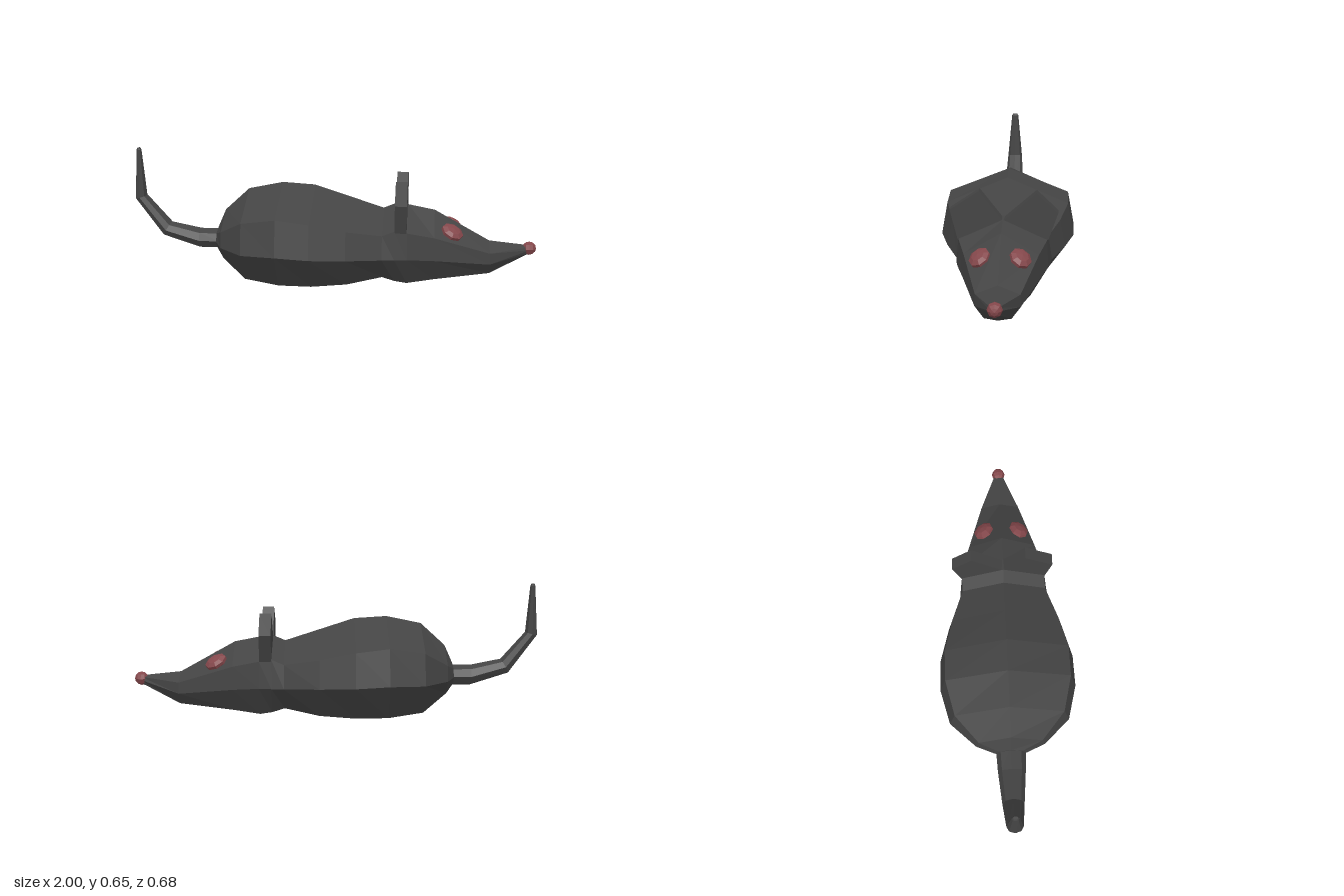
import * as THREE from 'three';

// Skin a row of rings that advance along +x; each ring runs top -> +z -> bottom -> -z
function loft(rings) {
  const n = rings[0].length;
  const index = [];
  for (let j = 0; j < rings.length - 1; j++) {
    for (let i = 0; i < n; i++) {
      const k = (i + 1) % n;
      const a = j * n + i, b = j * n + k, c = b + n, d = a + n;
      index.push(a, b, c, a, c, d);
    }
  }
  const last = (rings.length - 1) * n;
  for (let i = 1; i < n - 1; i++) {
    index.push(0, i + 1, i, last, last + i, last + i + 1);
  }
  const geo = new THREE.BufferGeometry();
  geo.setAttribute('position', new THREE.Float32BufferAttribute(rings.flat(2), 3));
  geo.setIndex(index);
  const flat = geo.toNonIndexed();
  flat.computeVertexNormals();
  return flat;
}

// Eight-sided body section, mirrored across z = 0
function bodyRing([x, top, upY, upZ, midY, midZ, lowY, lowZ, bottom]) {
  return [
    [x, top, 0], [x, upY, upZ], [x, midY, midZ], [x, lowY, lowZ],
    [x, bottom, 0], [x, lowY, -lowZ], [x, midY, -midZ], [x, upY, -upZ],
  ];
}

// Octagonal tail section between an inner and an outer point
function tailRing([x0, y0, x1, y1, halfZ]) {
  const ring = [];
  for (let i = 0; i < 8; i++) {
    const a = (i / 8) * Math.PI * 2;
    const t = (1 - Math.cos(a)) / 2;
    ring.push([x0 + (x1 - x0) * t, y0 + (y1 - y0) * t, Math.sin(a) * halfZ]);
  }
  return ring;
}

export function createModel() {
  const fur = new THREE.MeshStandardMaterial({ color: 0x444444 });
  fur.name = 'dark grey fur';
  fur.flatShading = true;
  const pink = new THREE.MeshStandardMaterial({ color: 0x84474b });
  pink.name = 'dull red';
  pink.flatShading = true;

  const model = new THREE.Group();
  model.name = 'rat';
  const add = (name, geo, mat) => {
    const mesh = new THREE.Mesh(geo, mat);
    mesh.name = name;
    model.add(mesh);
    return mesh;
  };

  // Body and head: x, top, upper y/z, middle y/z, lower y/z, bottom
  const sections = [
    [-0.58, 0.26, 0.24, 0.06, 0.20, 0.08, 0.165, 0.05, 0.15],
    [-0.54, 0.35, 0.27, 0.155, 0.195, 0.17, 0.125, 0.10, 0.115],
    [-0.42, 0.46, 0.345, 0.265, 0.195, 0.295, 0.045, 0.18, 0.035],
    [-0.25, 0.495, 0.375, 0.305, 0.20, 0.338, 0.025, 0.21, 0.008],
    [-0.09, 0.485, 0.355, 0.305, 0.19, 0.335, 0.023, 0.21, 0.003],
    [0.08, 0.43, 0.315, 0.265, 0.18, 0.29, 0.03, 0.18, 0.013],
    [0.25, 0.375, 0.285, 0.21, 0.17, 0.228, 0.06, 0.14, 0.05],
    [0.31, 0.40, 0.31, 0.21, 0.17, 0.222, 0.04, 0.135, 0.027],
    [0.37, 0.395, 0.30, 0.205, 0.17, 0.212, 0.03, 0.13, 0.003],
    [0.50, 0.37, 0.27, 0.17, 0.158, 0.175, 0.045, 0.105, 0.03],
    [0.77, 0.22, 0.18, 0.098, 0.125, 0.10, 0.07, 0.06, 0.06],
    [0.97, 0.20, 0.195, 0.014, 0.18, 0.018, 0.165, 0.012, 0.16],
  ];
  add('body', loft(sections.map(bodyRing)), fur);

  // Tail from its raised tip down to the rump: inner x/y, outer x/y, half width
  const tail = [
    [-0.965, 0.655, -0.98, 0.655, 0.012],
    [-0.96, 0.645, -0.985, 0.645, 0.018],
    [-0.94, 0.415, -1.0, 0.40, 0.04],
    [-0.82, 0.28, -0.86, 0.21, 0.053],
    [-0.67, 0.25, -0.67, 0.15, 0.068],
    [-0.56, 0.25, -0.56, 0.15, 0.073],
  ];
  add('tail', loft(tail.map(tailRing)), fur);

  // Ears: slanted upright slabs, given as z/y outlines
  const ears = {
    leftEar: [[0.11, 0.53], [0.245, 0.44], [0.21, 0.30], [0, 0.39]],
    rightEar: [[-0.155, 0.525], [0, 0.39], [-0.21, 0.30], [-0.255, 0.43]],
  };
  for (const [name, outline] of Object.entries(ears)) {
    add(name, loft([0.31, 0.367].map((x) => outline.map(([z, y]) => [x, y, z]))), fur);
  }

  // Eyes: flattened faceted balls lying on the slopes of the head
  const up = new THREE.Vector3(0, 1, 0);
  for (const side of [1, -1]) {
    const eye = add(side > 0 ? 'leftEye' : 'rightEye', new THREE.SphereGeometry(0.058, 8, 5), pink);
    eye.scale.set(1, 0.42, 0.92);
    eye.quaternion.setFromUnitVectors(up, new THREE.Vector3(0.5, 1, 0.52 * side).normalize());
    eye.position.set(0.586, 0.282, 0.091 * side);
  }

  // Nose
  const nose = add('nose', new THREE.SphereGeometry(0.034, 8, 6), pink);
  nose.rotation.z = -Math.PI / 2;
  nose.position.set(0.966, 0.185, 0);

  return model;
}
